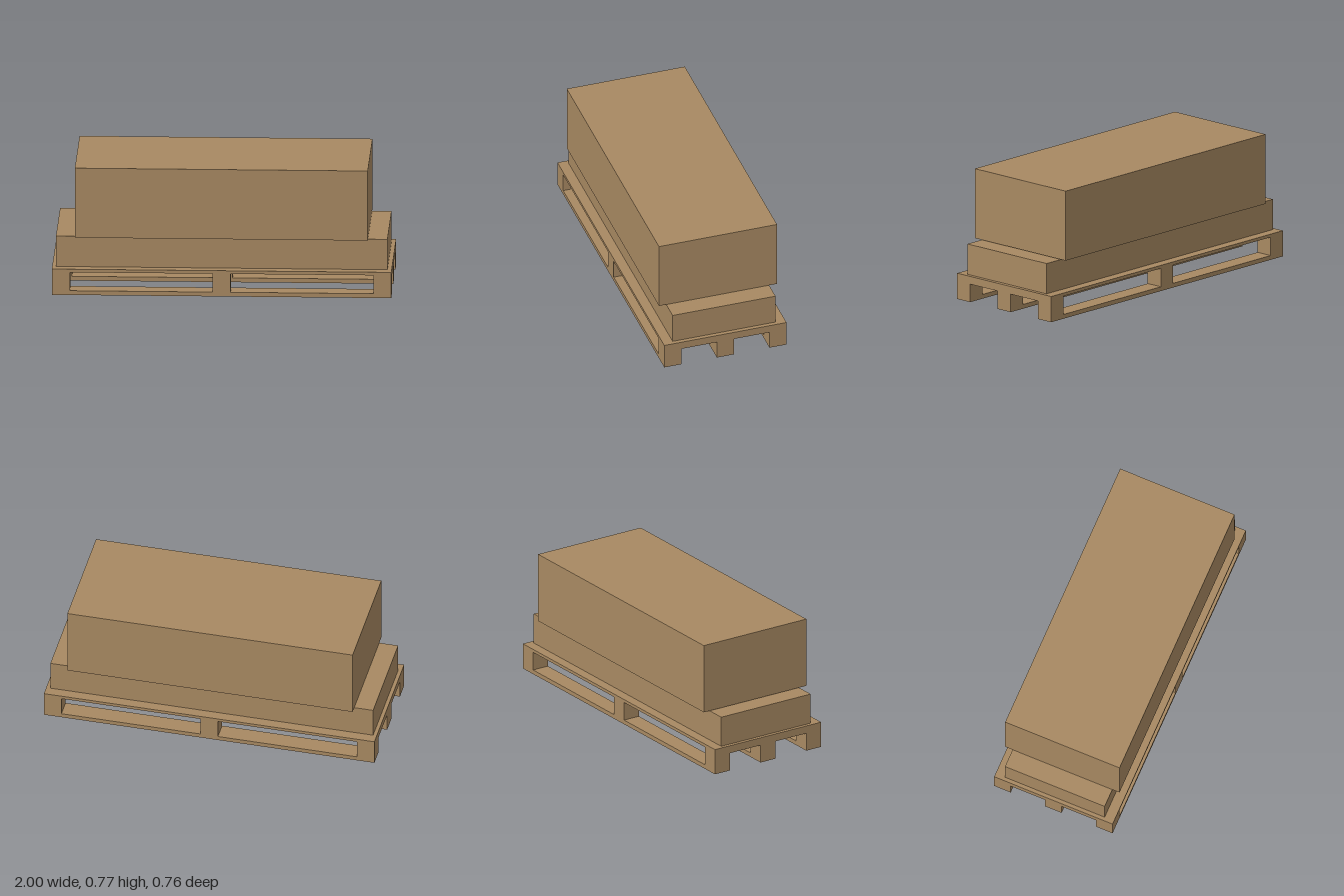
import * as THREE from 'three';

export function createModel() {
  const model = new THREE.Group();
  model.name = 'loadedPallet';
  const cardboard = new THREE.MeshStandardMaterial({ color: 0xa88962 });
  cardboard.name = 'cardboard brown';

  // Box given by its low and high limits on each axis
  function box(name, parent, [x0, x1], [y0, y1], [z0, z1]) {
    const mesh = new THREE.Mesh(new THREE.BoxGeometry(x1 - x0, y1 - y0, z1 - z0), cardboard);
    mesh.name = name;
    mesh.position.set((x0 + x1) / 2, (y0 + y1) / 2, (z0 + z1) / 2);
    parent.add(mesh);
  }

  const pallet = new THREE.Group();
  pallet.name = 'pallet';
  model.add(pallet);

  const halfX = 1, halfZ = 0.379, block = 0.106;
  const around = (c) => [c - block / 2, c + block / 2];
  const xs = [-1, 0, 1].map((s) => s * (halfX - block / 2));
  const zs = [-1, 0, 1].map((s) => s * (halfZ - block / 2));

  // Top deck and the cross boards under it
  box('deck', pallet, [-halfX, halfX], [0.138, 0.157], [-halfZ, halfZ]);
  for (const x of xs) box('crossBoard', pallet, around(x), [0.11, 0.138], [-halfZ, halfZ]);

  // Three runners, each carrying three blocks
  for (const z of zs) {
    box('runner', pallet, [-halfX, halfX], [0, 0.026], around(z));
    for (const x of xs) box('block', pallet, around(x), [0.026, 0.11], around(z));
  }

  // Stacked cartons, with a hairline gap between them
  box('lowerCarton', model, [-0.978, 0.975], [0.157, 0.342], [-0.319, 0.319]);
  box('upperCarton', model, [-0.865, 0.861], [0.346, 0.77], [-0.366, 0.366]);

  return model;
}
